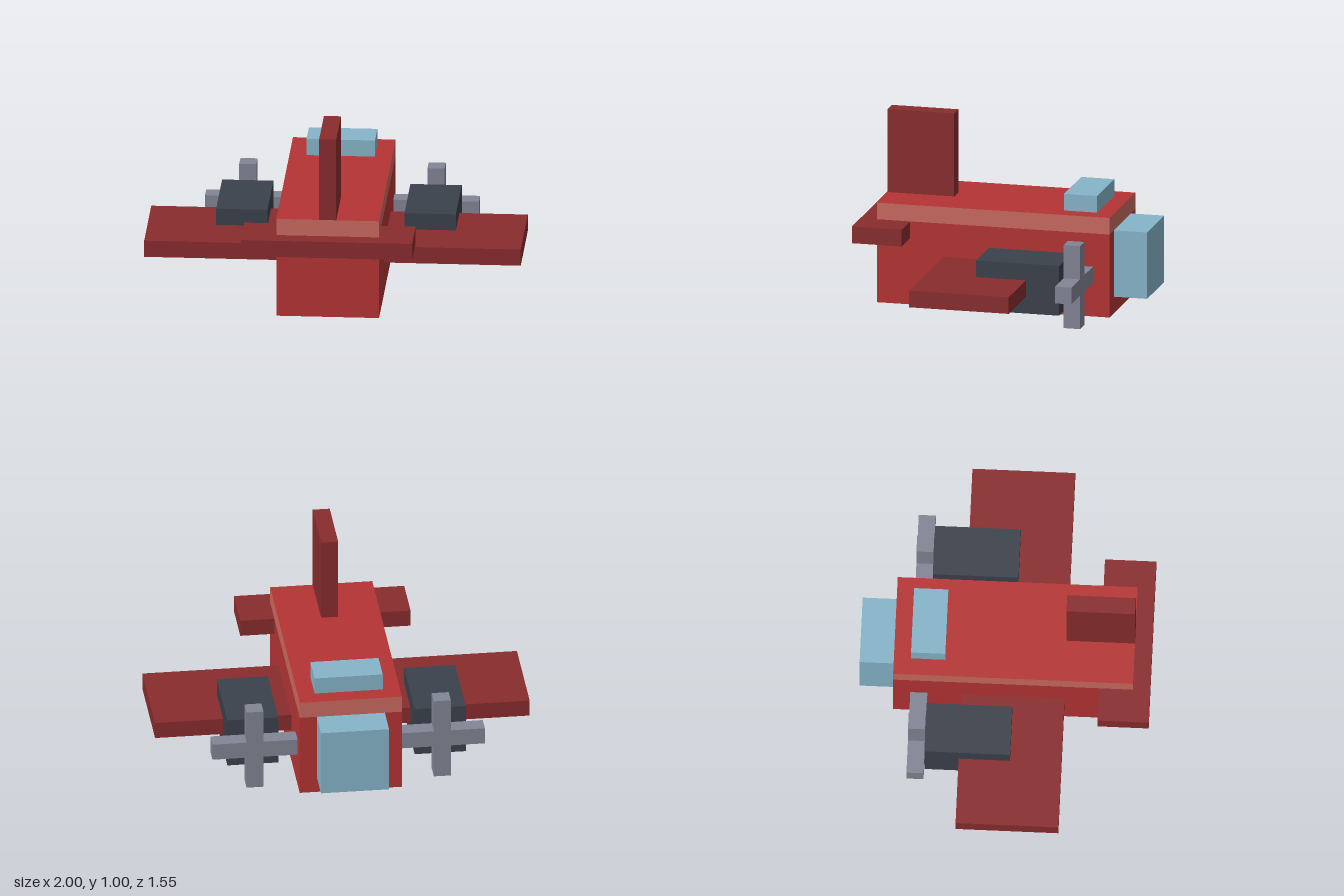
import * as THREE from 'three';

// Every part sits on a regular grid, with 22 steps to the half span of 1 unit... 11 steps per half unit
const U = 1 / 22;

function material(name, color) {
  const m = new THREE.MeshStandardMaterial({ color });
  m.name = name;
  return m;
}

export function createModel() {
  const red = material('body red', 0xb53434);
  const paleRed = material('pale red trim', 0xca6a60);
  const darkRed = material('wing dark red', 0x892c2e);
  const glass = material('light blue glass', 0x86b5ca);
  const charcoal = material('engine charcoal', 0x3b414b);
  const grey = material('propeller grey', 0x828594);

  const model = new THREE.Group();
  model.name = 'airplane';

  // Box given by its lower and upper corners in grid steps
  function block(parent, name, mat, [x0, y0, z0], [x1, y1, z1]) {
    const geo = new THREE.BoxGeometry((x1 - x0) * U, (y1 - y0) * U, (z1 - z0) * U);
    const mesh = new THREE.Mesh(geo, mat);
    mesh.name = name;
    mesh.position.set((x0 + x1) / 2 * U, (y0 + y1) / 2 * U, (z0 + z1) / 2 * U);
    parent.add(mesh);
    return mesh;
  }

  // Fuselage: red hull, with a pale band around the upper edge and a red roof
  block(model, 'fuselage', red, [-6, 0, -13], [6, 10, 15]);
  block(model, 'fuselageTrim', [paleRed, paleRed, red, paleRed, paleRed, paleRed],
    [-6, 10, -13], [6, 12, 15]);

  // Nose and cockpit glass
  block(model, 'noseWindow', glass, [-4, 2, -17], [4, 10, -13]);
  block(model, 'cockpit', glass, [-4, 12, -11], [4, 14, -7]);

  // Tail
  block(model, 'tailFin', darkRed, [-1, 12, 7], [1, 22, 15]);
  block(model, 'tailplane', darkRed, [-10, 8, 11], [10, 10, 17]);

  // Wings, engines and propellers on both sides
  for (const [side, s] of [['left', 1], ['right', -1]]) {
    const half = new THREE.Group();
    half.name = side + 'WingAssembly';
    model.add(half);
    const mirrored = (name, mat, [x0, y0, z0], [x1, y1, z1]) =>
      block(half, name, mat, [Math.min(s * x0, s * x1), y0, z0], [Math.max(s * x0, s * x1), y1, z1]);

    mirrored('wing', darkRed, [6, 4, -5], [22, 6, 7]);
    mirrored('engine', charcoal, [8, 2, -9], [14, 8, 1]);
    mirrored('propellerVerticalBlade', grey, [10, 0, -11], [12, 10, -9]);
    mirrored('propellerInnerBlade', grey, [6, 4, -11], [10, 6, -9]);
    mirrored('propellerOuterBlade', grey, [12, 4, -11], [16, 6, -9]);
  }

  return model;
}
